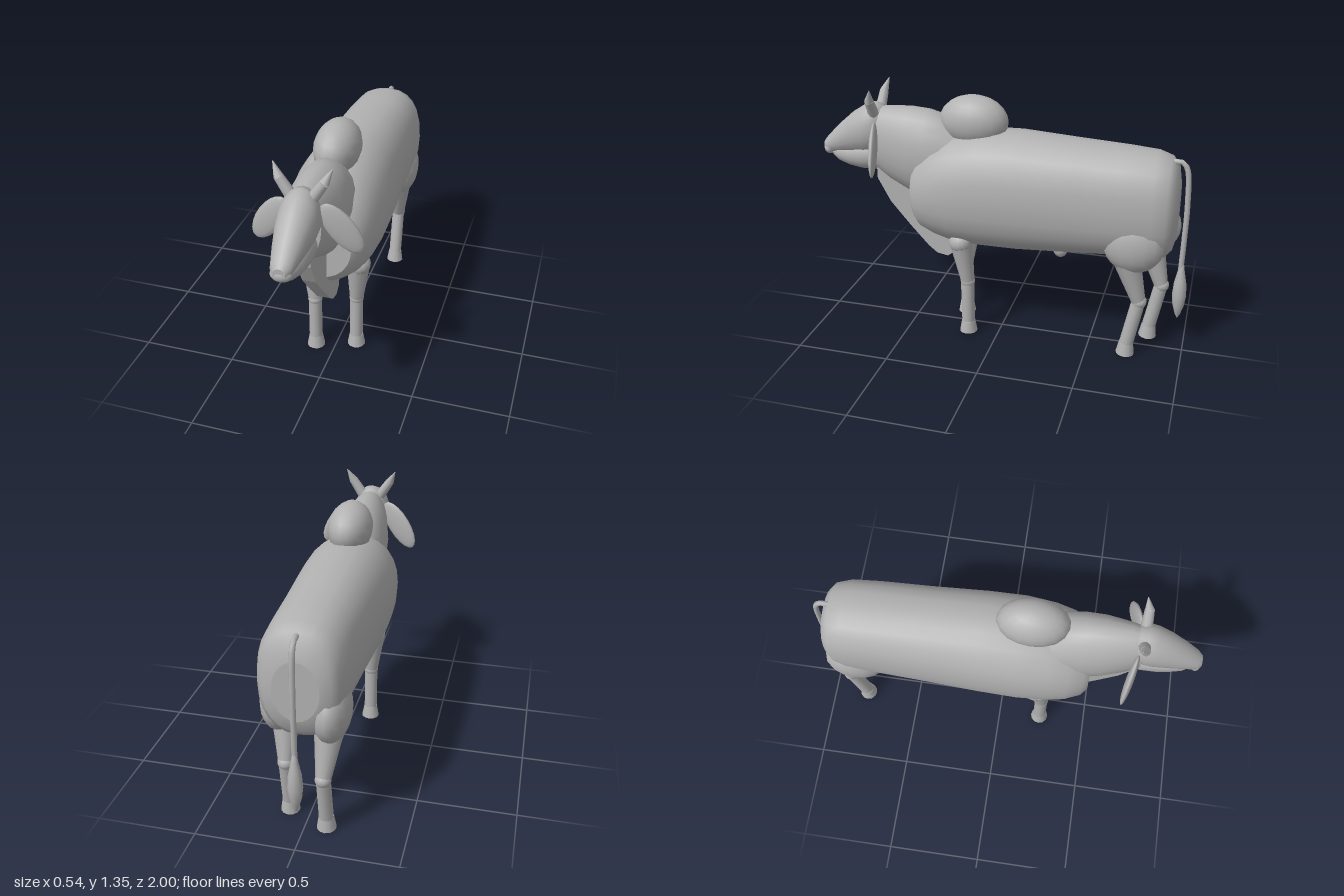
import * as THREE from 'three';

const hide = new THREE.MeshStandardMaterial({ name: 'hideGrey', color: 0xb2b2b2 });

// Smooth skin along z from front to back; section = [z, yBottom, yTop, halfWidth, roundness]
function loft(sections, n = 20) {
  const pos = [], idx = [];
  const pw = (v, e) => Math.sign(v) * Math.pow(Math.abs(v), 2 / e);
  const ring = ([z, y0, y1, w, e = 2]) => {
    for (let i = 0; i < n; i++) {
      const a = (i / n) * Math.PI * 2;
      pos.push(w * pw(Math.cos(a), e), (y0 + y1) / 2 + ((y1 - y0) / 2) * pw(Math.sin(a), e), z);
    }
  };
  sections.forEach(ring);
  for (let s = 0; s < sections.length - 1; s++) {
    for (let i = 0; i < n; i++) {
      const a = s * n + i, b = s * n + ((i + 1) % n);
      idx.push(a, a + n, b + n, a, b + n, b);
    }
  }
  // flat end caps with their own vertices
  [sections[0], sections[sections.length - 1]].forEach((sec, end) => {
    const base = pos.length / 3;
    ring(sec);
    pos.push(0, (sec[1] + sec[2]) / 2, sec[0]);
    for (let i = 0; i < n; i++) {
      const a = base + i, b = base + ((i + 1) % n);
      if (end === 0) idx.push(base + n, a, b);
      else idx.push(base + n, b, a);
    }
  });
  const g = new THREE.BufferGeometry();
  g.setAttribute('position', new THREE.Float32BufferAttribute(pos, 3));
  g.setIndex(idx);
  g.computeVertexNormals();
  return g;
}

export function createModel() {
  const model = new THREE.Group();
  model.name = 'humpedBull';

  const add = (name, geo, parent = model) => {
    const m = new THREE.Mesh(geo, hide);
    m.name = name;
    parent.add(m);
    return m;
  };
  const ball = (name, p, r, parent, w = 14, h = 10) => {
    const m = add(name, new THREE.SphereGeometry(1, w, h), parent);
    m.position.set(...p);
    m.scale.set(...r);
    return m;
  };
  // Tapered rod from a (radius ra) to b (radius rb)
  const rod = (name, a, b, ra, rb, parent, sides = 12) => {
    const A = new THREE.Vector3(...a), B = new THREE.Vector3(...b), d = B.clone().sub(A);
    const m = add(name, new THREE.CylinderGeometry(rb, ra, d.length(), sides), parent);
    m.position.copy(A).add(B).multiplyScalar(0.5);
    m.quaternion.setFromUnitVectors(new THREE.Vector3(0, 1, 0), d.normalize());
    return m;
  };

  // Barrel
  add('body', loft([
    [0.46, 0.62, 0.98, 0.16], [0.43, 0.58, 1.02, 0.19, 2.1], [0.35, 0.545, 1.08, 0.225, 2.1],
    [0.25, 0.52, 1.12, 0.24, 2.2], [0.1, 0.51, 1.15, 0.25, 2.2], [-0.1, 0.51, 1.155, 0.245, 2.2],
    [-0.4, 0.53, 1.135, 0.228, 2.3], [-0.65, 0.55, 1.12, 0.218, 2.4], [-0.8, 0.55, 1.108, 0.21, 2.4],
    [-0.87, 0.56, 1.085, 0.19, 2.4], [-0.905, 0.6, 1.04, 0.16, 2.3], [-0.92, 0.66, 0.96, 0.11],
  ], 24));
  // Neck
  add('neck', loft([
    [0.69, 0.88, 1.22, 0.09], [0.62, 0.83, 1.235, 0.11], [0.5, 0.77, 1.24, 0.138],
    [0.4, 0.75, 1.232, 0.145], [0.3, 0.76, 1.205, 0.14], [0.2, 0.8, 1.12, 0.12],
  ]));
  // Shoulder hump
  ball('hump', [0, 1.19, 0.15], [0.115, 0.135, 0.182], model, 18, 12);

  // Dewlap hanging below the neck, drawn as (z, y)
  const flap = [[0.69, 0.92], [0.69, 0.83], [0.62, 0.7], [0.51, 0.57], [0.41, 0.46], [0.36, 0.42],
    [0.3, 0.41], [0.26, 0.44], [0.23, 0.56], [0.3, 0.8], [0.45, 0.95]];
  const flapGeo = new THREE.ExtrudeGeometry(
    new THREE.Shape(flap.map(([z, y]) => new THREE.Vector2(-z, y))), { depth: 0.07, bevelEnabled: false });
  flapGeo.translate(0, 0, -0.035);
  flapGeo.rotateY(Math.PI / 2);
  add('dewlap', flapGeo);

  // Head
  const head = new THREE.Group();
  head.name = 'head';
  model.add(head);
  add('skull', loft([
    [0.995, 0.955, 1.015, 0.03], [0.97, 0.945, 1.045, 0.05], [0.9, 0.95, 1.115, 0.068],
    [0.82, 0.955, 1.185, 0.085], [0.75, 0.96, 1.23, 0.096], [0.7, 0.97, 1.248, 0.096],
    [0.66, 0.99, 1.24, 0.08], [0.635, 1.03, 1.2, 0.05],
  ]), head);
  add('jaw', loft([
    [0.945, 0.925, 0.98, 0.03], [0.91, 0.9, 1.0, 0.05], [0.85, 0.88, 1.01, 0.062],
    [0.78, 0.87, 1.03, 0.072], [0.7, 0.872, 1.04, 0.075], [0.65, 0.9, 1.02, 0.055],
  ]), head);
  ball('muzzle', [0, 0.972, 0.967], [0.052, 0.036, 0.033], head);

  for (const s of [1, -1]) {
    const side = s > 0 ? 'left' : 'right';
    // Drooping ear
    const ear = ball(side + 'Ear', [s * 0.172, 1.04, 0.647], [0.066, 0.15, 0.02], head, 14, 10);
    ear.rotation.set(0, s * 0.22, s * 0.62, 'YXZ');
    // Horn in two tapering lengths
    rod(side + 'HornBase', [s * 0.045, 1.19, 0.685], [s * 0.105, 1.28, 0.682], 0.03, 0.024, head, 10);
    rod(side + 'HornTip', [s * 0.105, 1.28, 0.682], [s * 0.138, 1.345, 0.663], 0.024, 0.002, head, 10);

    // Front leg, the left one standing further back
    const x = s * 0.105, zf = s > 0 ? 0.165 : 0.237;
    const front = new THREE.Group();
    front.name = side + 'FrontLeg';
    model.add(front);
    ball('shoulder', [s * 0.125, 0.55, 0.195], [0.062, 0.06, 0.063], front);
    rod('upperLeg', [s * 0.122, 0.56, s > 0 ? 0.195 : 0.215], [x, 0.31, zf], 0.063, 0.037, front);
    ball('knee', [x, 0.31, zf], [0.039, 0.036, 0.04], front);
    rod('lowerLeg', [x, 0.31, zf], [x, 0.05, zf], 0.036, 0.036, front);
    rod('hoof', [x, 0, zf], [x, 0.066, zf], 0.049, 0.037, front);

    // Hind leg, the right one standing further back
    const off = s > 0 ? 0 : -0.095;
    const hind = new THREE.Group();
    hind.name = side + 'HindLeg';
    model.add(hind);
    ball('thigh', [s * 0.13, 0.66, s > 0 ? -0.72 : -0.775], [0.092, 0.16, 0.16], hind, 16, 12);
    rod('upperLeg', [s * 0.118, 0.56, -0.69 + off], [x, 0.32, -0.762 + off], 0.072, 0.037, hind);
    ball('hock', [x, 0.32, -0.765 + off], [0.04, 0.038, 0.04], hind);
    rod('lowerLeg', [x, 0.32, -0.762 + off], [x, 0.05, -0.71 + off], 0.036, 0.037, hind);
    rod('hoof', [x, 0, -0.708 + off], [x, 0.066, -0.712 + off], 0.049, 0.038, hind);
  }

  // Tail with its tuft
  const tailPath = new THREE.CatmullRomCurve3([[1.065, -0.86], [1.065, -0.92], [1.03, -0.945],
    [0.85, -0.96], [0.65, -0.96], [0.45, -0.956]].map(([y, z]) => new THREE.Vector3(0, y, z)));
  add('tail', new THREE.TubeGeometry(tailPath, 24, 0.014, 8));
  ball('tailRoot', [0, 1.065, -0.865], [0.014, 0.014, 0.014], model, 8, 6);
  const tuft = [[0, 0.19], [0.014, 0.215], [0.03, 0.27], [0.037, 0.33], [0.032, 0.4], [0.018, 0.47], [0.01, 0.52], [0, 0.53]];
  const tuftMesh = add('tailTuft', new THREE.LatheGeometry(tuft.map(([r, y]) => new THREE.Vector2(r, y)), 10));
  tuftMesh.position.z = -0.96;

  // Small bump under the belly
  ball('sheath', [0, 0.515, -0.322], [0.036, 0.045, 0.04], model, 10, 8);

  return model;
}
